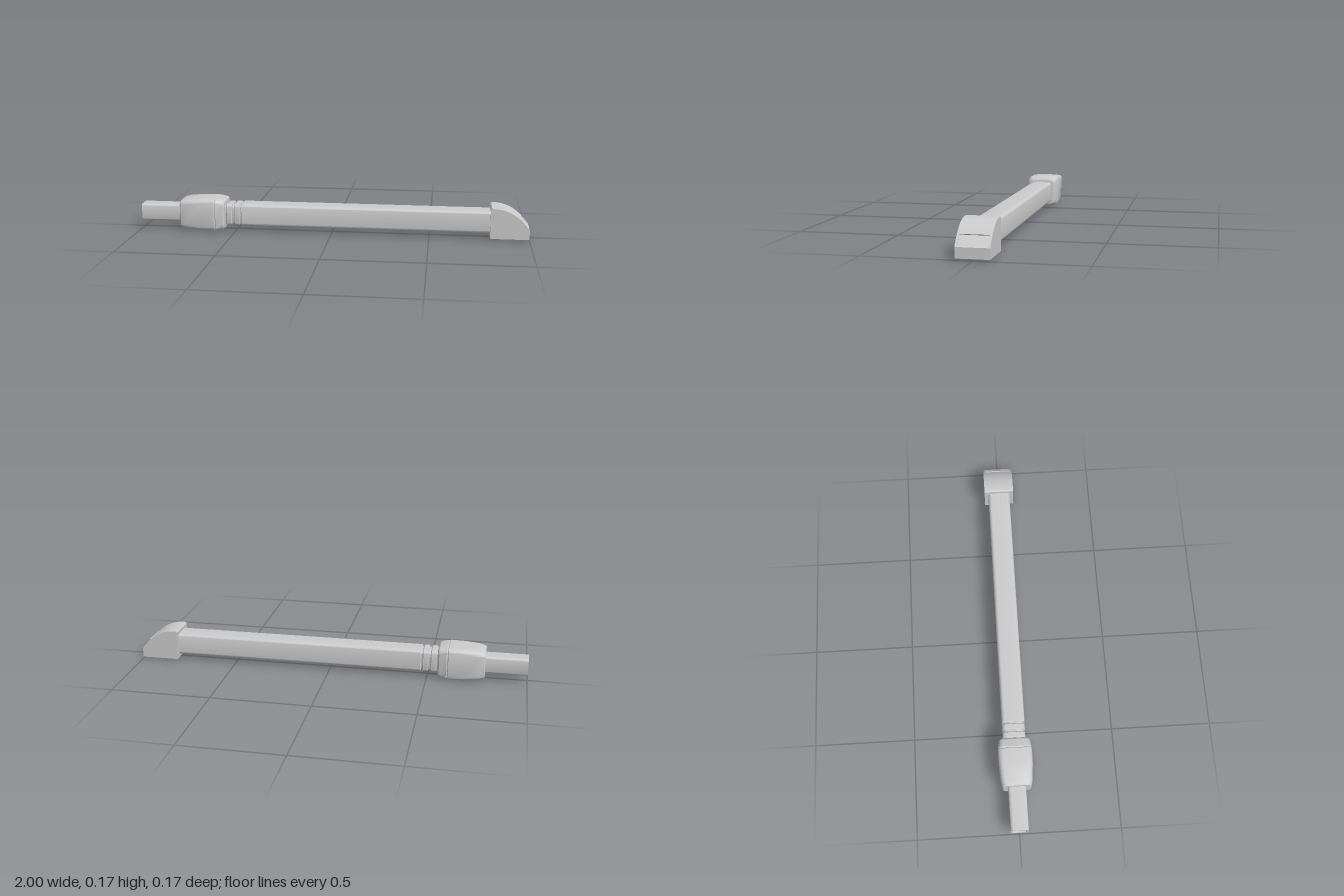
import * as THREE from 'three';
import { toCreasedNormals } from 'three/addons/utils/BufferGeometryUtils.js';

const MID = 0.084; // height of the long axis

// Loft of rounded squares along x; each section is [x, half size, corner radius]
function loft(sections, steps = 6) {
  const n = 4 * (steps + 1), pos = [], index = [];
  for (const [x, h, r] of sections) {
    for (let k = 0; k < 4; k++) {
      const sy = k === 0 || k === 3 ? 1 : -1, sz = k < 2 ? 1 : -1;
      for (let s = 0; s <= steps; s++) {
        const a = (k + s / steps) * Math.PI / 2;
        pos.push(x, MID + sy * (h - r) + r * Math.cos(a), sz * (h - r) + r * Math.sin(a));
      }
    }
  }
  for (let i = 0; i < sections.length - 1; i++) {
    for (let j = 0; j < n; j++) {
      const a = i * n + j, b = i * n + (j + 1) % n;
      index.push(a, b, a + n, b, b + n, a + n);
    }
  }
  const g = new THREE.BufferGeometry();
  g.setAttribute('position', new THREE.Float32BufferAttribute(pos, 3));
  g.setIndex(index);
  return toCreasedNormals(g, 0.5);
}

// Side profile of the curved end cap, optionally with the shallow front recess
function capShape(recessed) {
  const s = new THREE.Shape();
  s.moveTo(0.811, 0.008);
  s.lineTo(1, 0.008);
  s.lineTo(1, 0.057);
  if (recessed) {
    s.lineTo(0.994, 0.061);
    s.lineTo(0.957, 0.102);
    s.lineTo(0.962, 0.106);
  }
  const from = recessed ? 0.106 : 0.057;
  const curve = new THREE.CubicBezierCurve(
    new THREE.Vector2(1, 0.057), new THREE.Vector2(0.95, 0.122),
    new THREE.Vector2(0.9, 0.161), new THREE.Vector2(0.82, 0.162));
  for (const p of curve.getPoints(24)) if (p.y > from) s.lineTo(p.x, p.y);
  s.lineTo(0.811, 0.162);
  s.lineTo(0.805, 0.156);
  s.lineTo(0.805, 0.014);
  return s;
}

export function createModel() {
  const group = new THREE.Group();
  const material = new THREE.MeshStandardMaterial({ color: 0xcccccc });
  const add = (name, geometry, parent = group) => {
    const mesh = new THREE.Mesh(geometry, material);
    mesh.name = name;
    parent.add(mesh);
  };

  // Hollow inner tube, open at the -x end
  add('innerTube', loft([
    [-0.76, 0, 0], [-0.76, 0.034, 0.008], [-1, 0.034, 0.008],
    [-1, 0.044, 0.014], [-0.75, 0.044, 0.014]]));

  // Swollen clamping collar with a seam near its wide end
  add('collar', loft([
    [-0.79, 0, 0], [-0.79, 0.066, 0.02], [-0.785, 0.071, 0.024], [-0.762, 0.077, 0.026],
    [-0.68, 0.083, 0.026], [-0.608, 0.084, 0.026], [-0.605, 0.081, 0.024], [-0.602, 0.081, 0.024],
    [-0.599, 0.083, 0.026], [-0.562, 0.076, 0.025], [-0.555, 0.07, 0.022], [-0.553, 0.064, 0.02],
    [-0.553, 0, 0]]));

  // Grooved neck between collar and outer tube
  add('neckCore', loft([[-0.56, 0.049, 0.014], [-0.46, 0.049, 0.014]]));
  for (const x of [-0.548, -0.507]) {
    add('neckRing', loft([
      [x, 0, 0], [x, 0.052, 0.015], [x + 0.004, 0.056, 0.017],
      [x + 0.026, 0.056, 0.017], [x + 0.03, 0.052, 0.015], [x + 0.03, 0, 0]]));
  }

  // Long outer tube
  add('outerTube', loft([
    [-0.47, 0, 0], [-0.47, 0.054, 0.015], [-0.467, 0.057, 0.017], [0.81, 0.057, 0.017]]));

  // Curved end cap: two full sides and a recessed middle
  const cap = new THREE.Group();
  cap.name = 'endCap';
  group.add(cap);
  for (const [name, z0, z1, recessed] of [
    ['capSide', -0.077, -0.066, false],
    ['capMiddle', -0.066, 0.066, true],
    ['capSide', 0.066, 0.077, false]]) {
    const g = new THREE.ExtrudeGeometry(capShape(recessed), { depth: z1 - z0, bevelEnabled: false });
    add(name, toCreasedNormals(g.translate(0, 0, z0), 0.4), cap);
  }
  return group;
}
